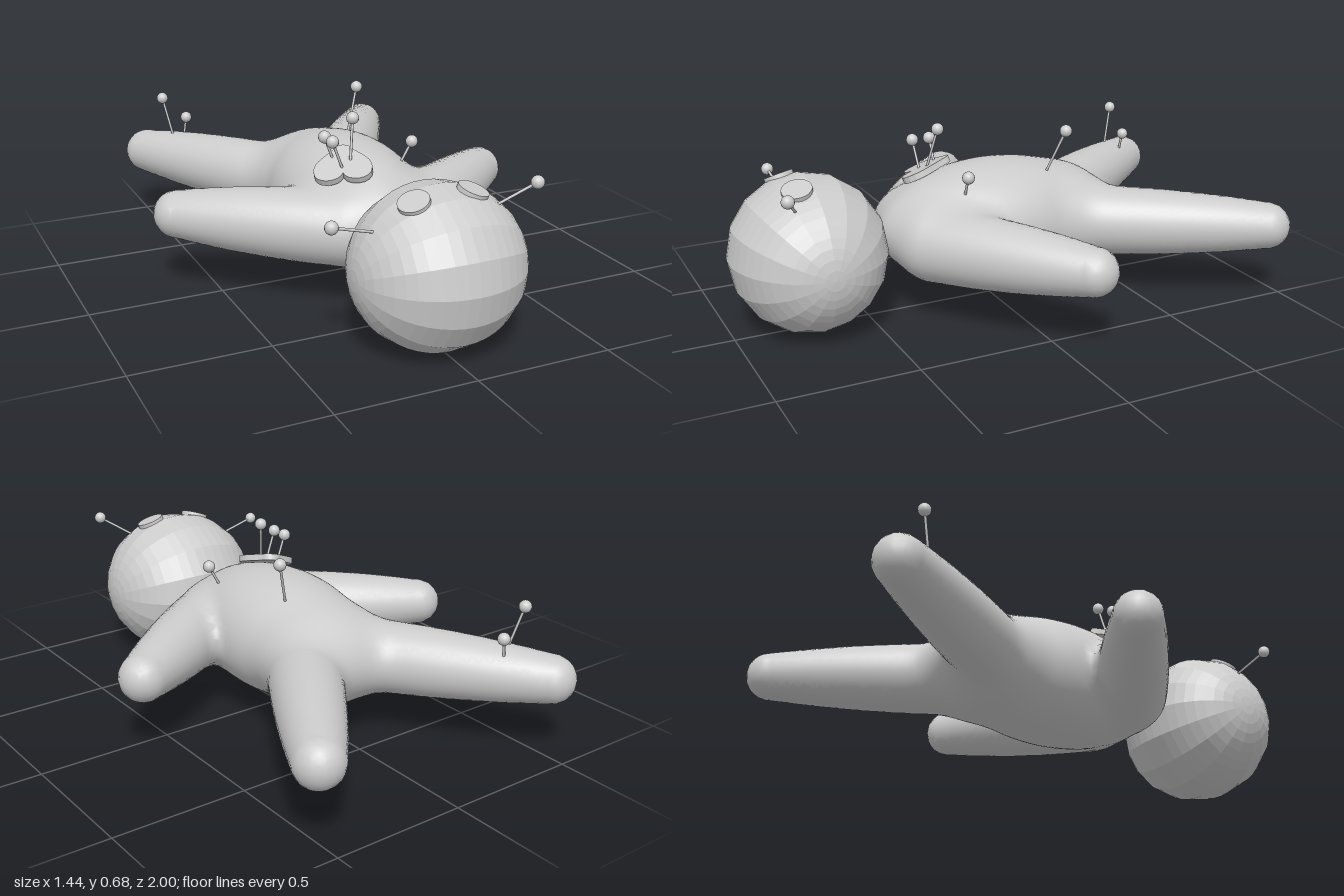
import * as THREE from 'three';

const V = (x, y, z) => new THREE.Vector3(x, y, z);
const UP = V(0, 1, 0);
const material = new THREE.MeshStandardMaterial({ color: 0xcccccc });
const facetedMaterial = new THREE.MeshStandardMaterial({ color: 0xcccccc, flatShading: true });

// ---- Soft body: rounded torso and limbs blended into one skin ----
const smin = (a, b, k) => {
  const h = Math.max(k - Math.abs(a - b), 0) / k;
  return Math.min(a, b) - h * h * k / 4;
};

// Limb from a to b, full along most of its length and narrowing to the tip
function limb(x, y, z, a, b, ra, rb) {
  const dx = b[0] - a[0], dy = b[1] - a[1], dz = b[2] - a[2];
  const px = x - a[0], py = y - a[1], pz = z - a[2];
  const t = THREE.MathUtils.clamp((px * dx + py * dy + pz * dz) / (dx * dx + dy * dy + dz * dz), 0, 1);
  return Math.hypot(px - dx * t, py - dy * t, pz - dz * t) - (ra + (rb - ra) * t * t);
}

function ellipsoid(x, y, z, rx, ry, rz) {
  const k0 = Math.hypot(x / rx, y / ry, z / rz);
  const k1 = Math.hypot(x / rx ** 2, y / ry ** 2, z / rz ** 2);
  return k1 < 1e-6 ? -ry : k0 * (k0 - 1) / k1;
}

function bodyDistance(x, y, z) {
  const torso = ellipsoid(x, y - 0.305, z + 0.01, 0.262, 0.23, 0.452);
  const leg = s => limb(x * s, y, z, [0.125, 0.287, -0.33], [0.508, 0.292, -0.91], 0.132, 0.088);
  const arm = s => limb(x * s, y, z, [0.13, 0.285, 0.275], [0.633, 0.298, -0.083], 0.137, 0.088);
  const lower = smin(torso, smin(leg(1), leg(-1), 0.22), 0.1);
  return smin(lower, smin(arm(1), arm(-1), 0.06), 0.06);
}

function bodyNormal(p) {
  const e = 0.002, f = bodyDistance;
  return V(
    f(p.x + e, p.y, p.z) - f(p.x - e, p.y, p.z),
    f(p.x, p.y + e, p.z) - f(p.x, p.y - e, p.z),
    f(p.x, p.y, p.z + e) - f(p.x, p.y, p.z - e)).normalize();
}

// Skin the distance field: one vertex per crossed cell, one quad per crossed edge
function bodyGeometry() {
  const cell = 0.028, min = [-0.784, 0.0, -1.06], n = [57, 22, 57];
  const id = c => (c[2] * n[1] + c[1]) * n[0] + c[0];
  const field = new Float32Array(n[0] * n[1] * n[2]);
  const eachNode = fn => {
    for (let k = 0; k < n[2]; k++)
      for (let j = 0; j < n[1]; j++)
        for (let i = 0; i < n[0]; i++) fn([i, j, k]);
  };
  eachNode(c => { field[id(c)] = bodyDistance(...c.map((v, a) => min[a] + v * cell)); });

  const positions = [], normals = [], index = [], vertexOf = new Map();
  eachNode(c => {
    if (c.some((v, a) => v >= n[a] - 1)) return;
    let inside = 0;
    for (let m = 0; m < 8; m++)
      if (field[id([c[0] + (m & 1), c[1] + (m >> 1 & 1), c[2] + (m >> 2)])] < 0) inside++;
    if (inside === 0 || inside === 8) return;
    const p = V(...c.map((v, a) => min[a] + (v + 0.5) * cell));
    for (let s = 0; s < 4; s++) p.addScaledVector(bodyNormal(p), -bodyDistance(p.x, p.y, p.z));
    vertexOf.set(id(c), positions.length / 3);
    positions.push(...p.toArray());
    normals.push(...bodyNormal(p).toArray());
  });
  eachNode(c => {
    for (let a = 0; a < 3; a++) {
      const b = (a + 1) % 3, d = (a + 2) % 3;
      if (c[a] >= n[a] - 1 || c[b] < 1 || c[d] < 1) continue;
      const next = [...c];
      next[a]++;
      const in0 = field[id(c)] < 0, in1 = field[id(next)] < 0;
      if (in0 === in1) continue;
      const q = [[-1, -1], [0, -1], [0, 0], [-1, 0]].map(([u, v]) => {
        const w = [...c];
        w[b] += u;
        w[d] += v;
        return vertexOf.get(id(w));
      });
      if (in1) q.reverse();
      index.push(q[0], q[1], q[2], q[0], q[2], q[3]);
    }
  });
  const g = new THREE.BufferGeometry();
  g.setAttribute('position', new THREE.Float32BufferAttribute(positions, 3));
  g.setAttribute('normal', new THREE.Float32BufferAttribute(normals, 3));
  g.setIndex(index);
  return g;
}

function heartGeometry() {
  const s = new THREE.Shape();
  s.moveTo(0, -0.055);
  s.bezierCurveTo(0.01, -0.1, 0.105, -0.11, 0.105, -0.035);
  s.bezierCurveTo(0.105, 0.02, 0.05, 0.045, 0.025, 0.085);
  s.quadraticCurveTo(0, 0.105, -0.025, 0.085);
  s.bezierCurveTo(-0.05, 0.045, -0.105, 0.02, -0.105, -0.035);
  s.bezierCurveTo(-0.105, -0.11, -0.01, -0.1, 0, -0.055);
  const g = new THREE.ExtrudeGeometry(s, { depth: 0.024, bevelEnabled: false, curveSegments: 8 });
  return g.rotateZ(-0.2).translate(0, 0, -0.012);
}

// Pin with a round head, pushed in at the entry point
function makePin(head, entry) {
  const pin = new THREE.Group();
  pin.name = 'pin';
  const top = V(...head), axis = V(...entry).sub(top);
  const length = axis.length() + 0.03;
  axis.normalize();
  const knob = new THREE.Mesh(new THREE.SphereGeometry(0.023, 14, 10), material);
  knob.name = 'pinHead';
  knob.position.copy(top);
  const shaft = new THREE.Mesh(new THREE.CylinderGeometry(0.005, 0.005, length, 8), material);
  shaft.name = 'pinShaft';
  shaft.position.copy(top).addScaledVector(axis, length / 2);
  shaft.quaternion.setFromUnitVectors(UP, axis);
  pin.add(knob, shaft);
  return pin;
}

export function createModel() {
  const model = new THREE.Group();
  model.name = 'pinDoll';
  const add = (name, geometry, mat = material) => {
    const mesh = new THREE.Mesh(geometry, mat);
    mesh.name = name;
    model.add(mesh);
    return mesh;
  };

  add('body', bodyGeometry());

  // Head: faceted ball with its poles at the ears
  const center = V(0, 0.287, 0.717), radii = V(0.306, 0.286, 0.284);
  const ball = new THREE.SphereGeometry(1, 16, 24).rotateZ(Math.PI / 2);
  add('head', ball.scale(radii.x, radii.y, radii.z), facetedMaterial).position.copy(center);

  // Button eyes resting on the upturned face
  for (const x of [-0.12, 0.093]) {
    const dx = x / radii.x, dz = 0.055 / radii.z;
    const offset = V(x, radii.y * Math.sqrt(1 - dx * dx - dz * dz) - 0.004, 0.055);
    const normal = offset.clone().divide(radii).divide(radii).normalize();
    const eye = add('buttonEye', new THREE.CylinderGeometry(0.054, 0.054, 0.02, 24));
    eye.position.copy(center).add(offset);
    eye.quaternion.setFromUnitVectors(UP, normal);
  }

  // Heart patch lying on the chest
  const heart = add('heart', heartGeometry());
  heart.position.set(-0.105, 0.5, 0.212);
  heart.quaternion.setFromUnitVectors(V(0, 0, 1), V(-0.27, 0.91, 0.32).normalize());

  // Pins: head position, entry point
  const pins = [
    [[-0.39, 0.49, 0.74], [-0.24, 0.45, 0.735]],
    [[0.28, 0.58, 0.86], [0.17, 0.505, 0.805]],
    [[0.16, 0.655, -0.235], [0.105, 0.5, -0.19]],
    [[0.19, 0.54, 0.175], [0.15, 0.465, 0.17]],
    [[-0.16, 0.6, 0.175], [-0.125, 0.51, 0.17]],
    [[-0.16, 0.6, 0.243], [-0.12, 0.5, 0.235]],
    [[-0.055, 0.66, 0.185], [-0.08, 0.51, 0.22]],
    [[-0.46, 0.54, -0.81], [-0.435, 0.4, -0.775]],
    [[-0.36, 0.445, -0.815], [-0.37, 0.39, -0.81]],
  ];
  for (const [head, entry] of pins) model.add(makePin(head, entry));

  return model;
}
